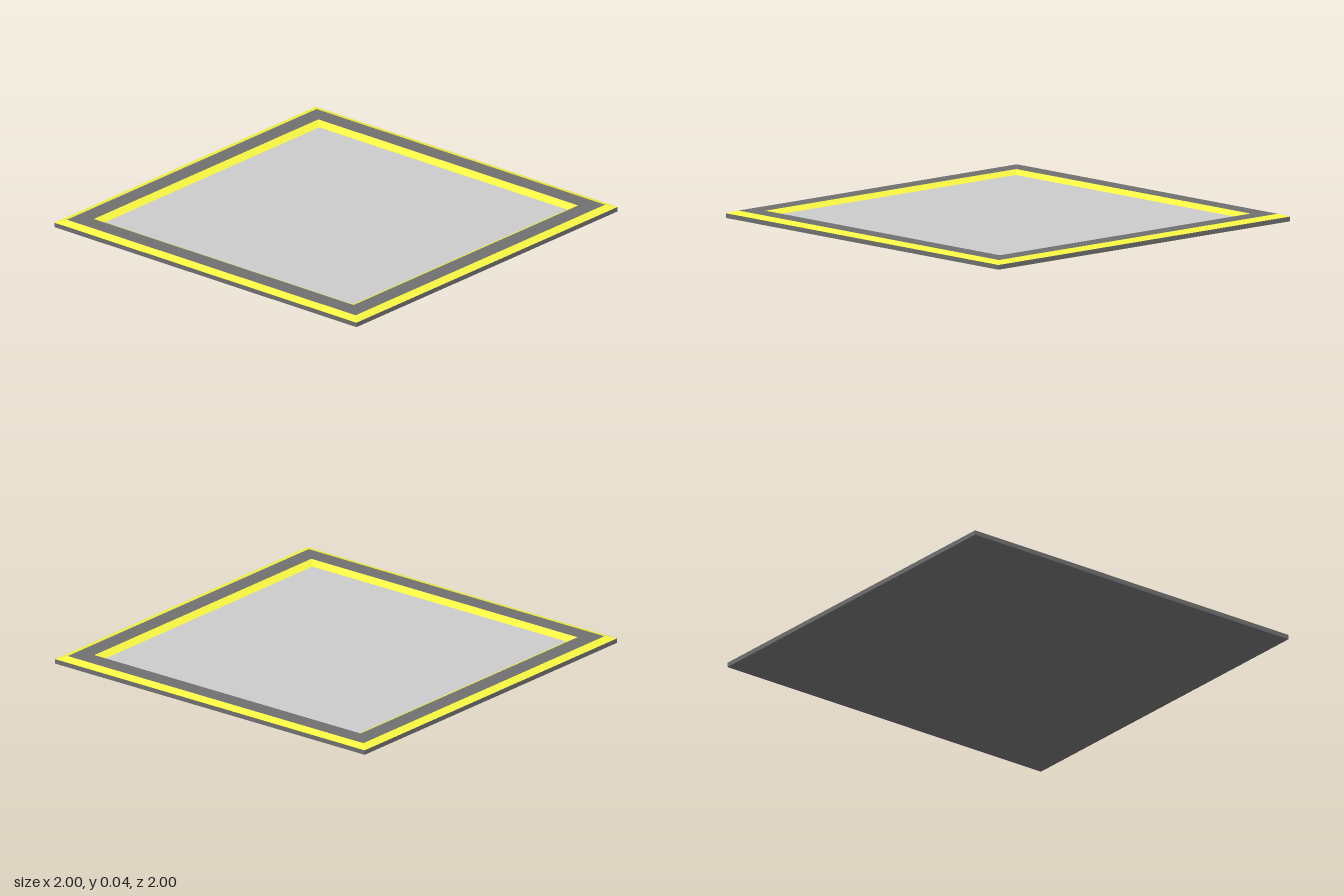
import * as THREE from 'three';

const dark = new THREE.MeshStandardMaterial({ color: 0x707070 });
const yellow = new THREE.MeshStandardMaterial({ color: 0xf5f542 });
const light = new THREE.MeshStandardMaterial({ color: 0xcccccc });

// Heights and half widths of the tray's profile, from outside to inside
const SIDE_Y = 0.024, RIM_Y = 0.038, FLOOR_Y = 0.018;
const OUTER = 1, RIM_OUT = 0.955, RIM_IN = 0.86, FLOOR = 0.82;

// Square band of four mitred faces running from one square to the next one inward or upward
function band(halfA, yA, halfB, yB) {
  const positions = [];
  const up = new THREE.Vector3(0, 1, 0);
  for (let side = 0; side < 4; side++) {
    const corners = [
      [-halfA, yA, halfA], [halfA, yA, halfA], [halfB, yB, halfB], [-halfB, yB, halfB],
    ].map((c) => new THREE.Vector3(...c).applyAxisAngle(up, side * Math.PI / 2));
    for (const i of [0, 1, 2, 0, 2, 3]) positions.push(...corners[i].toArray());
  }
  const geometry = new THREE.BufferGeometry();
  geometry.setAttribute('position', new THREE.Float32BufferAttribute(positions, 3));
  geometry.computeVertexNormals();
  return geometry;
}

// Horizontal square facing up or down
function square(half, y, facing) {
  return new THREE.PlaneGeometry(2 * half, 2 * half).rotateX(-facing * Math.PI / 2).translate(0, y, 0);
}

export function createModel() {
  const group = new THREE.Group();
  group.name = 'floorTile';
  const add = (name, geometry, material) => {
    const mesh = new THREE.Mesh(geometry, material);
    mesh.name = name;
    group.add(mesh);
  };

  // Underside and low vertical edge
  add('underside', square(OUTER, 0, -1), dark);
  add('outerEdge', band(OUTER, 0, OUTER, SIDE_Y), dark);

  // Raised rim with a sloped trim on either side
  add('outerTrim', band(OUTER, SIDE_Y, RIM_OUT, RIM_Y), yellow);
  add('rimTop', band(RIM_OUT, RIM_Y, RIM_IN, RIM_Y), dark);
  add('innerTrim', band(RIM_IN, RIM_Y, FLOOR, FLOOR_Y), yellow);

  // Sunken centre panel
  add('centrePanel', square(FLOOR, FLOOR_Y, 1), light);
  return group;
}
